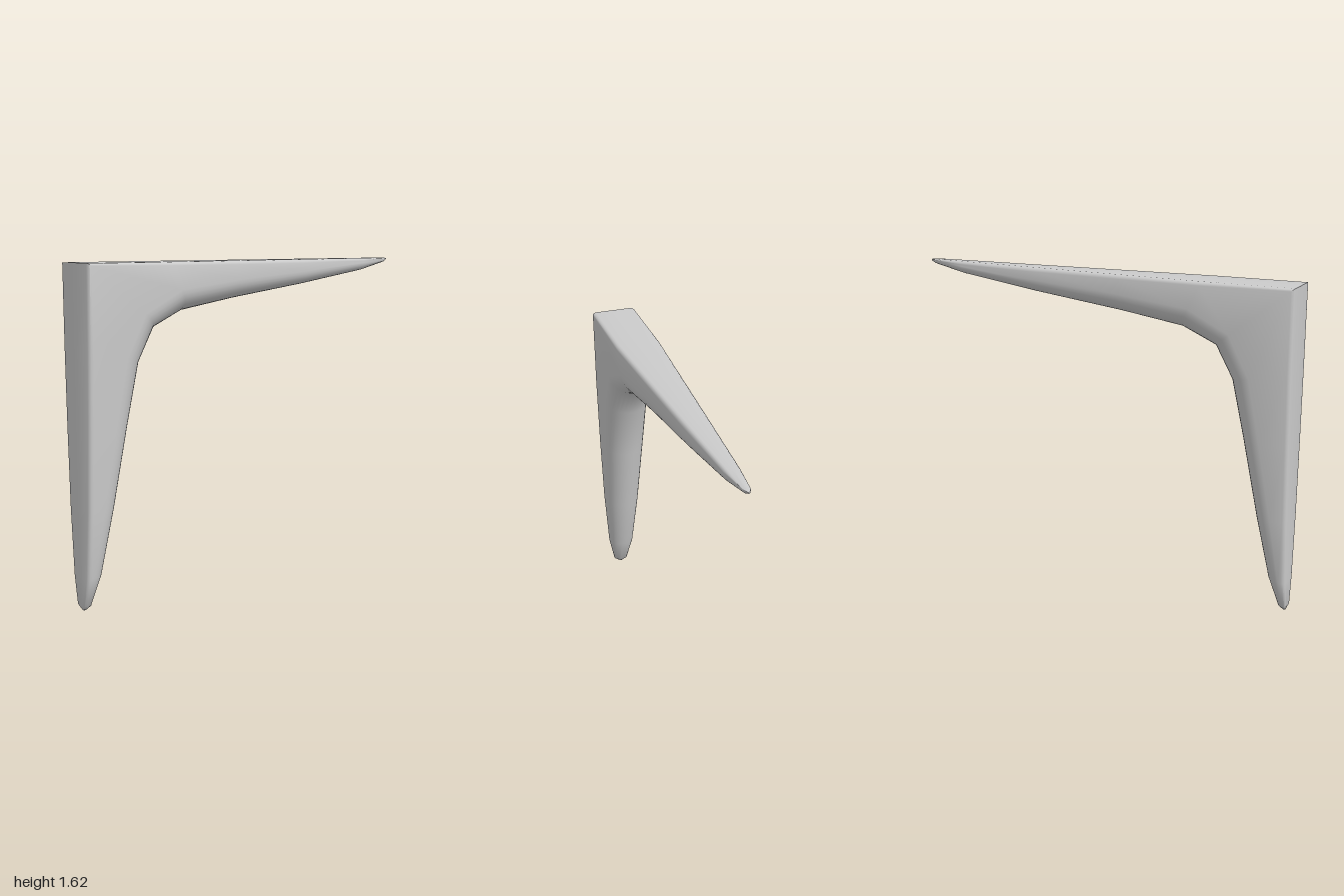
import * as THREE from 'three';
import { toCreasedNormals } from 'three/addons/utils/BufferGeometryUtils.js';

// Cross-sections from the foot, round the corner, to the arm tip:
// outer x, outer y, inner x, inner y, half width
const SECTIONS = [
  [-0.99, 0, -0.975, 0.003, 0.008],
  [-1, 0.025, -0.955, 0.025, 0.038],
  [-1, 0.16, -0.9, 0.17, 0.068],
  [-1, 0.48, -0.828, 0.48, 0.09],
  [-1, 0.86, -0.75, 0.86, 0.104],
  [-1, 1.22, -0.685, 1.15, 0.113],
  [-1, 1.615, -0.6, 1.305, 0.117],
  [-0.55, 1.615, -0.43, 1.38, 0.115],
  [-0.12, 1.615, -0.1, 1.43, 0.092],
  [0.35, 1.615, 0.36, 1.488, 0.066],
  [0.8, 1.615, 0.8, 1.552, 0.038],
  [0.975, 1.615, 0.975, 1.592, 0.017],
  [1, 1.612, 1, 1.604, 0.004],
];

// Half of a section as [depth, width]: flat back, small bevel, rounded inner edge
function halfProfile(depth, w) {
  const bevel = Math.min(0.02, depth * 0.25, w * 0.4);
  const round = Math.min(depth * 0.65, w);
  const pts = [[0, 0]];
  for (let k = 0; k <= 3; k++) {
    const a = (k / 3) * Math.PI / 2;
    pts.push([bevel * (1 - Math.cos(a + 0) * 1) , w - bevel + bevel * Math.sin(a)]);
  }
  for (let k = 0; k <= 8; k++) {
    const a = (k / 8) * Math.PI / 2;
    pts.push([depth - round + round * Math.sin(a), w * Math.cos(a)]);
  }
  return pts;
}

function sectionRing([ox, oy, ix, iy, w]) {
  const depth = Math.hypot(ix - ox, iy - oy);
  const dx = (ix - ox) / depth, dy = (iy - oy) / depth;
  const half = halfProfile(depth, w);
  const mirrored = half.slice(1, -1).reverse().map(([t, z]) => [t, -z]);
  return [...half, ...mirrored].map(([t, z]) => [ox + dx * t, oy + dy * t, z]);
}

function loft(rings) {
  const n = rings[0].length;
  const positions = rings.flat(2);
  const index = [];
  for (let i = 0; i < rings.length - 1; i++) {
    for (let j = 0; j < n; j++) {
      const a = i * n + j, b = i * n + (j + 1) % n;
      index.push(a, b, b + n, a, b + n, a + n);
    }
  }
  // Close both tips
  const last = (rings.length - 1) * n;
  for (let j = 1; j < n - 1; j++) {
    index.push(0, j + 1, j, last, last + j, last + j + 1);
  }
  const geometry = new THREE.BufferGeometry();
  geometry.setAttribute('position', new THREE.Float32BufferAttribute(positions, 3));
  geometry.setIndex(index);
  return toCreasedNormals(geometry, 0.85);
}

export function createModel() {
  const group = new THREE.Group();
  group.name = 'shelfBracket';
  const material = new THREE.MeshStandardMaterial({ color: 0xcccccc });
  const bracket = new THREE.Mesh(loft(SECTIONS.map(sectionRing)), material);
  bracket.name = 'bracketBody';
  group.add(bracket);
  return group;
}
